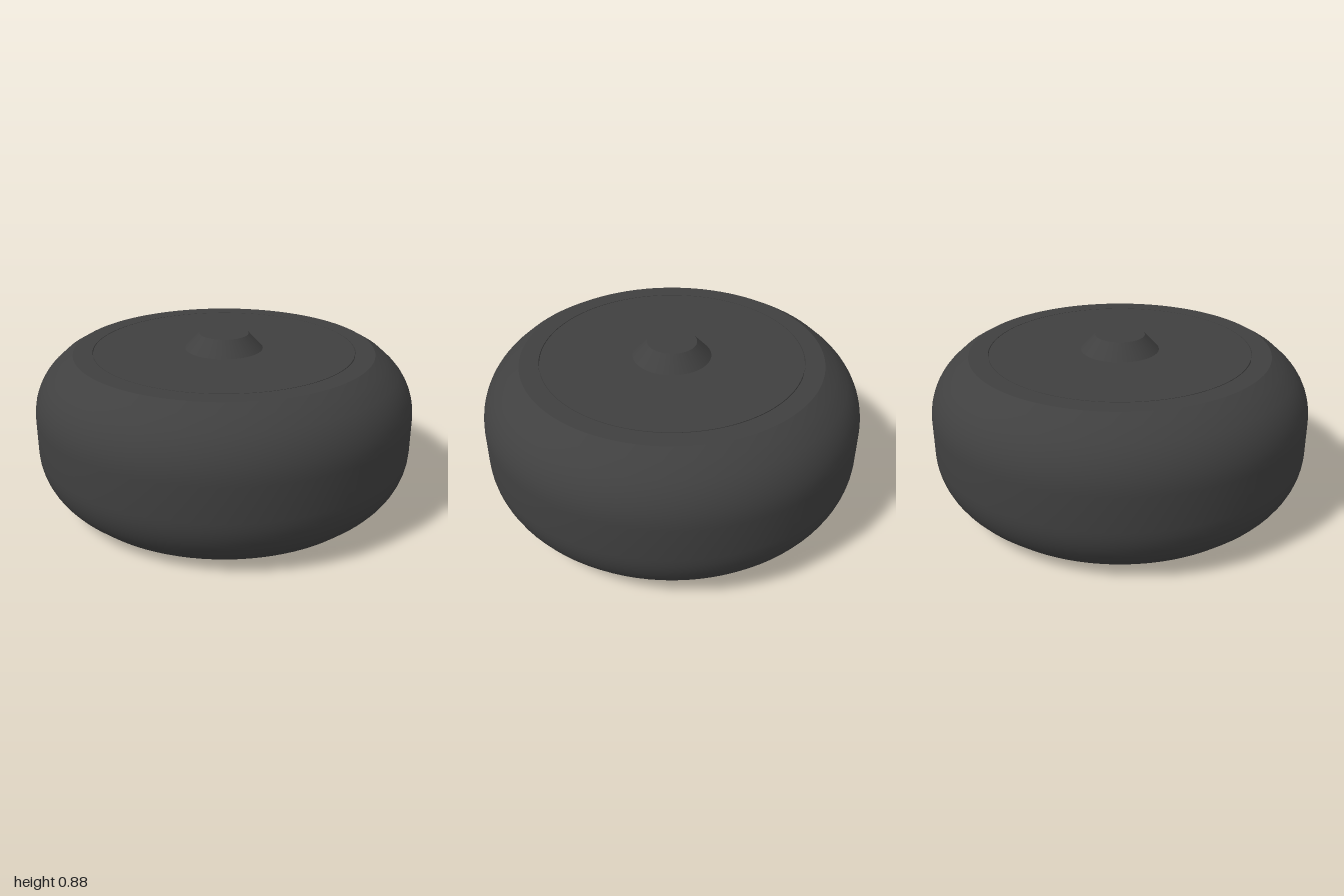
import * as THREE from 'three';
import { toCreasedNormals } from 'three/addons/utils/BufferGeometryUtils.js';

const SEGMENTS = 96;
const material = new THREE.MeshStandardMaterial({ color: 0x404040 });

function part(name, geometry) {
  const mesh = new THREE.Mesh(geometry, material);
  mesh.name = name;
  return mesh;
}

// Revolve an [radius, height] profile, keeping its edges sharp
function turned(name, profile) {
  const points = profile.map(([r, y]) => new THREE.Vector2(r, y));
  return part(name, toCreasedNormals(new THREE.LatheGeometry(points, SEGMENTS), 0.3));
}

// Tyre half profile: flat sidewall, small bevel, then a round shoulder
function shoulder() {
  const points = [[0.69, 0.8], [0.79, 0.8], [0.85, 0.765]];
  for (let i = 1; i <= 8; i++) {
    const a = (Math.PI / 3) * (1 - i / 8);
    points.push([0.7 + 0.3 * Math.cos(a), 0.49 + 0.31 * Math.sin(a)]);
  }
  return points;
}

// Plate with a ring of wedge-shaped pockets between its spokes
function spokePlate() {
  const plate = new THREE.Shape();
  plate.absarc(0, 0, 0.43, 0, Math.PI * 2, false);
  const half = Math.PI / 12;
  for (let i = 0; i < 6; i++) {
    const a = Math.PI / 6 + (i * Math.PI) / 3;
    const pocket = new THREE.Path();
    pocket.absarc(0, 0, 0.425, a - half, a + half, false);
    pocket.absarc(0, 0, 0.23, a + half, a - half, true);
    pocket.closePath();
    plate.holes.push(pocket);
  }
  const geometry = new THREE.ExtrudeGeometry(plate, {
    depth: 0.045, bevelEnabled: false, curveSegments: 32,
  });
  geometry.rotateX(Math.PI / 2).translate(0, 0.165, 0);
  return part('spokePlate', toCreasedNormals(geometry, 0.3));
}

export function createModel() {
  const wheel = new THREE.Group();
  wheel.name = 'wheel';

  // Tyre, symmetric top to bottom
  const upper = shoulder();
  const lower = upper.map(([r, y]) => [r, 0.8 - y]);
  const outline = [...lower, ...[...upper].reverse()];
  wheel.add(turned('tire', [...outline, lower[0]]));

  // Rim: dished underside, narrow groove beside the tyre, domed cap on top
  wheel.add(turned('rim', [
    [0, 0.165], [0.43, 0.165], [0.43, 0.12], [0.55, 0],
    [0.686, 0], [0.686, 0.02], [0.69, 0.02],
    [0.69, 0.78], [0.686, 0.78], [0.686, 0.8],
    [0.205, 0.8], [0.13, 0.88], [0, 0.88],
  ]));

  // Spokes and hub inside the dish
  wheel.add(spokePlate());
  wheel.add(turned('hub', [[0, 0.09], [0.155, 0.09], [0.155, 0.13], [0, 0.13]]));

  return wheel;
}
